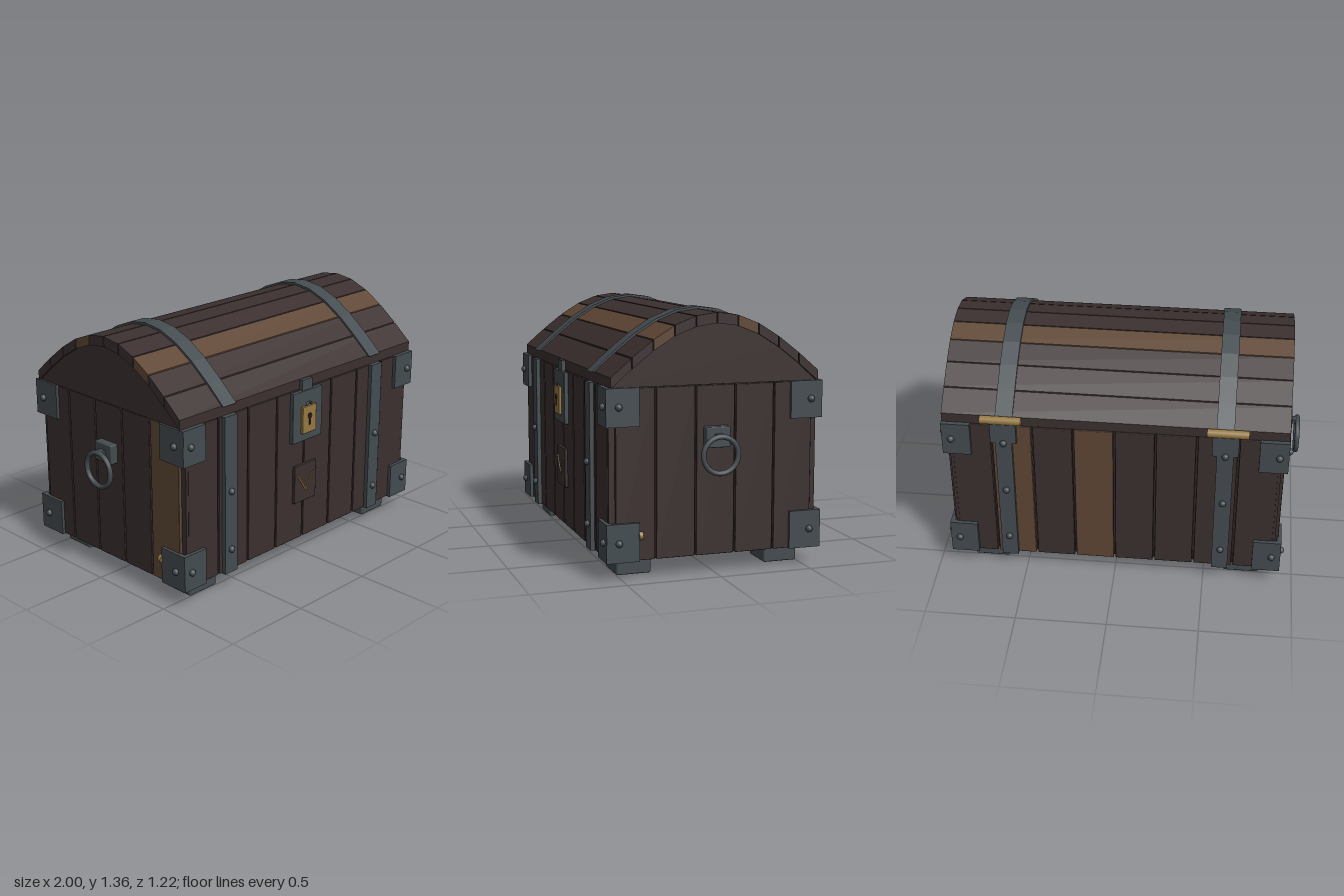
import * as THREE from 'three';
import { RoundedBoxGeometry } from 'three/addons/geometries/RoundedBoxGeometry.js';

const mat = (name, color) => {
  const m = new THREE.MeshStandardMaterial({ color });
  m.name = name;
  return m;
};

export function createModel() {
  const chest = new THREE.Group();
  chest.name = 'chest';
  const wood = mat('darkWood', 0x3c3030);
  const brown = mat('brownWood', 0x5f4735);
  const iron = mat('iron', 0x444c50);
  const brass = mat('brass', 0x967842);
  const black = mat('shadowWood', 0x211b19);

  const add = (name, geo, material, x = 0, y = 0, z = 0) => {
    const mesh = new THREE.Mesh(geo, material);
    mesh.name = name;
    mesh.position.set(x, y, z);
    chest.add(mesh);
    return mesh;
  };
  // Box given by its limits on each axis
  const box = (name, material, [x0, x1], [y0, y1], [z0, z1], r = 0) => {
    const s = [x1 - x0, y1 - y0, z1 - z0];
    const geo = r ? new RoundedBoxGeometry(...s, 1, r) : new THREE.BoxGeometry(...s);
    return add(name, geo, material, (x0 + x1) / 2, (y0 + y1) / 2, (z0 + z1) / 2);
  };
  // Limits mirrored to the positive or negative side
  const side = (s, a, b) => (s > 0 ? [a, b] : [-b, -a]);
  // Prism along x from a (z, y) outline
  const prism = (name, material, pts, width, x = 0) => {
    const shape = new THREE.Shape(pts.map(([z, y]) => new THREE.Vector2(z, y)));
    const geo = new THREE.ExtrudeGeometry(shape, { depth: width, bevelEnabled: false });
    geo.translate(0, 0, -width / 2).rotateY(-Math.PI / 2);
    return add(name, geo, material, x);
  };
  const rivetGeo = new THREE.SphereGeometry(0.019, 12, 8);
  const rivet = (x, y, z) => add('rivet', rivetGeo, iron, x, y, z);

  // Floor
  box('floor', black, [-0.88, 0.88], [0.095, 0.16], [-0.535, 0.535]);

  // Front and back planks
  for (let i = 0; i < 8; i++) {
    const x = -0.88 + i * 0.22;
    for (const s of [1, -1]) {
      const light = s < 0 && (i === 4 || i === 6);
      box(s > 0 ? 'frontPlank' : 'backPlank', light ? brown : wood,
        [x + 0.005, x + 0.215], [0.097, 0.975], side(s, 0.53, 0.565), 0.004);
    }
  }
  // End planks
  for (let i = 0; i < 5; i++) {
    const z = -0.535 + i * 0.214;
    for (const s of [1, -1]) {
      box('endPlank', s < 0 && i === 4 ? brown : wood,
        side(s, 0.875, 0.908), [0.097, 0.975], [z + 0.004, z + 0.21], 0.004);
    }
  }

  for (const sx of [1, -1]) {
    for (const sz of [1, -1]) {
      // Corner posts and feet
      box('cornerPost', wood, side(sx, 0.86, 0.89), [0.1, 0.975], side(sz, 0.52, 0.563));
      box('foot', iron, side(sx, 0.615, 0.81), [0, 0.1], side(sz, 0.315, 0.5), 0.008);
      // Corner brackets, two plates each
      for (const [y0, y1, ry] of [[0.095, 0.295, 0.195], [0.785, 0.98, 0.885]]) {
        box('bracketFace', iron, side(sx, 0.77, 0.924), [y0, y1], side(sz, 0.56, 0.585));
        box('bracketEnd', iron, side(sx, 0.9, 0.925), [y0, y1], side(sz, 0.41, 0.584));
        rivet(sx * 0.875, ry, sz * 0.587);
        rivet(sx * 0.928, ry, sz * 0.52);
      }
      // Upright straps on the body
      box('bodyStrap', iron, side(sx, 0.545, 0.635), [0.095, 0.978], side(sz, 0.56, 0.588));
      for (const y of [0.23, 0.56]) rivet(sx * 0.59, y, sz * 0.59);
      // Small brass studs by the feet
      box('footStud', brass, side(sx, 0.78, 0.8), [0.075, 0.097], side(sz, 0.3, 0.32));
    }
    const stud = add('endStud', new THREE.CylinderGeometry(0.022, 0.022, 0.02, 12), brass,
      sx * 0.918, 0.228, 0.405);
    stud.rotation.x = Math.PI / 2;

    // Ring handles
    box('handleMount', iron, side(sx, 0.9, 0.953), [0.66, 0.767], [-0.065, 0.065], 0.006);
    const ring = add('handleRing', new THREE.TorusGeometry(0.094, 0.014, 10, 32), iron,
      sx * 0.985, 0.627, 0);
    ring.rotation.y = Math.PI / 2;
    box('handlePin', iron, side(sx, 0.95, 0.987), [0.708, 0.732], [-0.02, 0.02]);

    // Hinges
    const hinge = add('hingeBarrel', new THREE.CylinderGeometry(0.023, 0.023, 0.22, 16), brass,
      sx * 0.6, 1.022, -0.582);
    hinge.rotation.z = Math.PI / 2;
    box('hingePlate', iron, side(sx, 0.52, 0.66), [0.88, 1.01], [-0.592, -0.56]);
    rivet(sx * 0.59, 0.88, -0.592);
  }

  // Lid arch: point i on the curve, with an outward offset
  const arch = (i, off = 0) => {
    const a = (i * Math.PI) / 10;
    return [0.562 - 0.1124 * i + Math.cos(a) * off, 1.03 + (0.313 + off) * Math.sin(a)];
  };
  const drop = ([z, y]) => [z, y - 0.055];
  const mix = (p, q, t) => [p[0] + (q[0] - p[0]) * t, p[1] + (q[1] - p[1]) * t];
  const all = [...Array(11).keys()];

  // Lid ends and inner body
  const core = all.map((i) => drop(arch(i)));
  core[0] = [0.55, 0.98];
  core[10] = [-0.55, 0.98];
  prism('lidBody', wood, core, 1.825);

  // Lid planks
  for (let i = 0; i < 10; i++) {
    const p = mix(arch(i), arch(i + 1), 0.025);
    const q = mix(arch(i), arch(i + 1), 0.975);
    prism('lidPlank', i === 2 || i === 6 ? brown : wood, [p, q, drop(q), drop(p)], 1.845);
  }

  // Lid straps
  const outer = all.map((i) => arch(i, 0.012));
  const inner = all.map((i) => arch(i, -0.005)).reverse();
  for (const s of [1, -1]) prism('lidStrap', iron, [...outer, ...inner], 0.094, s * 0.585);

  // Lock
  box('lockPlate', iron, [-0.118, 0.118], [0.683, 0.97], [0.56, 0.588], 0.004);
  box('hasp', iron, [-0.04, 0.04], [0.95, 1.03], [0.56, 0.582]);
  box('lockFace', brass, [-0.055, 0.055], [0.73, 0.885], [0.58, 0.603], 0.004);
  const hole = add('keyhole', new THREE.CylinderGeometry(0.017, 0.017, 0.006, 16), black, 0, 0.825, 0.603);
  hole.rotation.x = Math.PI / 2;
  box('keyholeSlot', black, [-0.006, 0.006], [0.775, 0.825], [0.6, 0.606]);
  add('lockLoop', new THREE.TorusGeometry(0.02, 0.005, 8, 16, Math.PI), iron, 0, 0.882, 0.595);

  // Plaque with a chevron inlay
  box('plaque', wood, [-0.088, 0.088], [0.322, 0.54], [0.56, 0.581], 0.003);
  for (const s of [1, -1]) {
    const bar = add('chevronBar', new THREE.BoxGeometry(0.118, 0.008, 0.008), brass, s * 0.032, 0.436, 0.582);
    bar.rotation.z = s * 0.97;
  }
  return chest;
}
